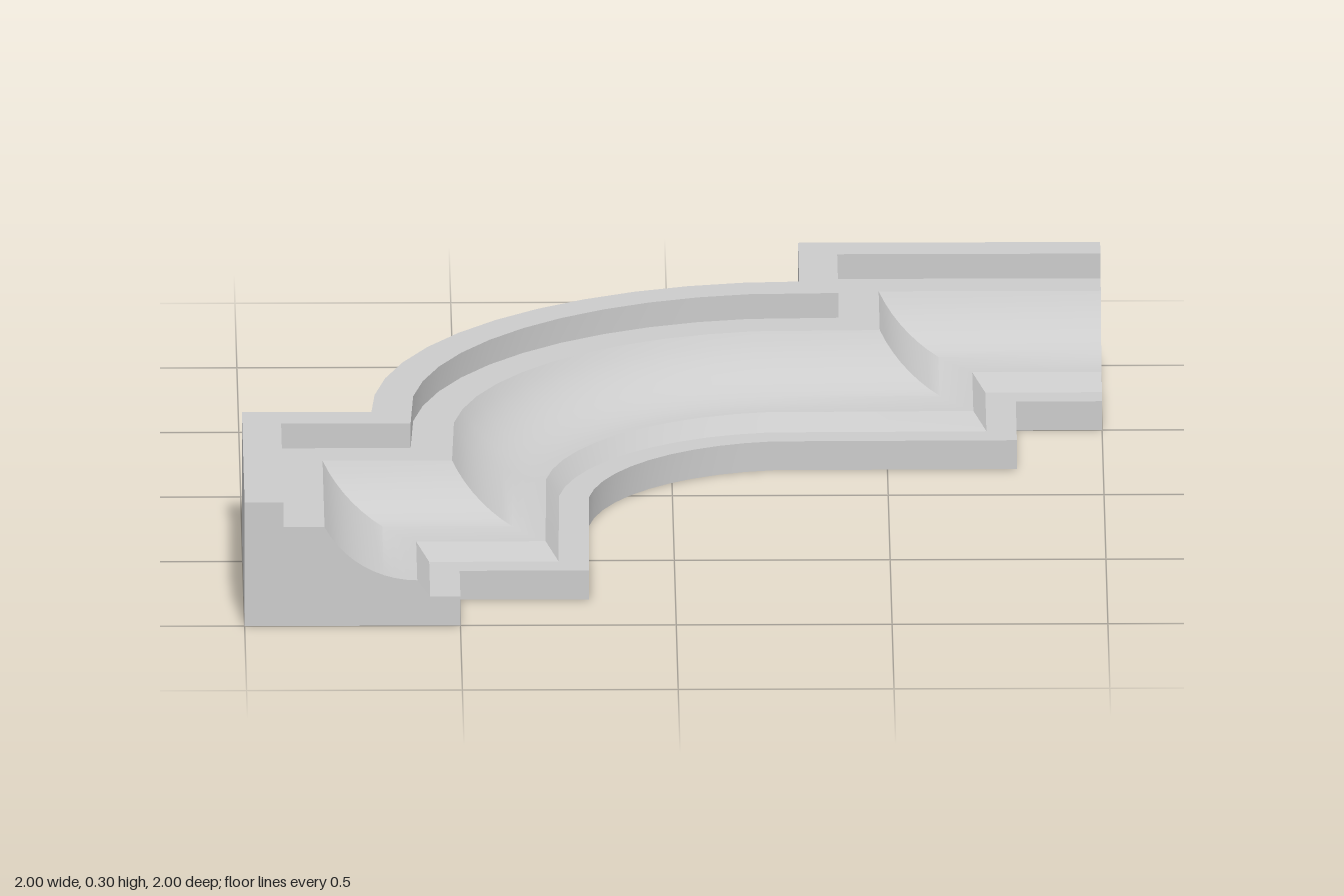
import * as THREE from 'three';
import { toCreasedNormals } from 'three/addons/utils/BufferGeometryUtils.js';

// Moulding profile: [distance from back edge, height], back bottom first
function mouldingProfile() {
  const points = [[0, 0], [0, 0.3], [0.09, 0.3], [0.09, 0.24]];
  // Circular cove, ending level at its foot
  const steps = 10, radius = 0.243, sweep = 1.085;
  for (let i = 0; i <= steps; i++) {
    const a = sweep * (1 - i / steps);
    points.push([0.4 - radius * Math.sin(a), 0.11 + radius * (1 - Math.cos(a))]);
  }
  points.push([0.43, 0.07], [0.5, 0.07], [0.5, 0]);
  return points;
}

// Stations along the back edge: [x, z, offset x, offset z], mitred at corners
function backPath() {
  const path = [[1, -1, 0, 1], [0.3, -1, 1, 1], [0.3, -0.7, 1, 1]];
  const segments = 12;
  for (let i = 1; i < segments; i++) {
    const a = (i / segments) * Math.PI / 2;
    const s = Math.sin(a), c = Math.cos(a);
    path.push([0.3 - s, 0.3 - c, s, c]);
  }
  path.push([-0.7, 0.3, 1, 1], [-1, 0.3, 1, 1], [-1, 1, 1, 0]);
  return path;
}

function sweepGeometry(profile, path) {
  const n = profile.length, last = (path.length - 1) * n;
  const positions = [], index = [];
  for (const [x, z, ox, oz] of path) {
    for (const [d, y] of profile) positions.push(x + ox * d, y, z + oz * d);
  }
  // Side walls, including the underside
  for (let i = 0; i < path.length - 1; i++) {
    for (let j = 0; j < n; j++) {
      const k = (j + 1) % n;
      const a = i * n + j, b = a + n, c = (i + 1) * n + k, d = i * n + k;
      index.push(a, b, c, a, c, d);
    }
  }
  // End caps
  const outline = profile.map(([d, y]) => new THREE.Vector2(d, y));
  for (const face of THREE.ShapeUtils.triangulateShape(outline, [])) {
    const clockwise = THREE.ShapeUtils.area(face.map((v) => outline[v])) < 0;
    const [a, b, c] = clockwise ? face : [face[0], face[2], face[1]];
    index.push(a, b, c, last + a, last + c, last + b);
  }
  const geometry = new THREE.BufferGeometry();
  geometry.setAttribute('position', new THREE.Float32BufferAttribute(positions, 3));
  geometry.setIndex(index);
  return toCreasedNormals(geometry, 0.5);
}

export function createModel() {
  const group = new THREE.Group();
  group.name = 'cornerMoulding';
  const moulding = new THREE.Mesh(
    sweepGeometry(mouldingProfile(), backPath()),
    new THREE.MeshStandardMaterial({ color: 0xcccccc })
  );
  moulding.name = 'covedMoulding';
  group.add(moulding);
  return group;
}
